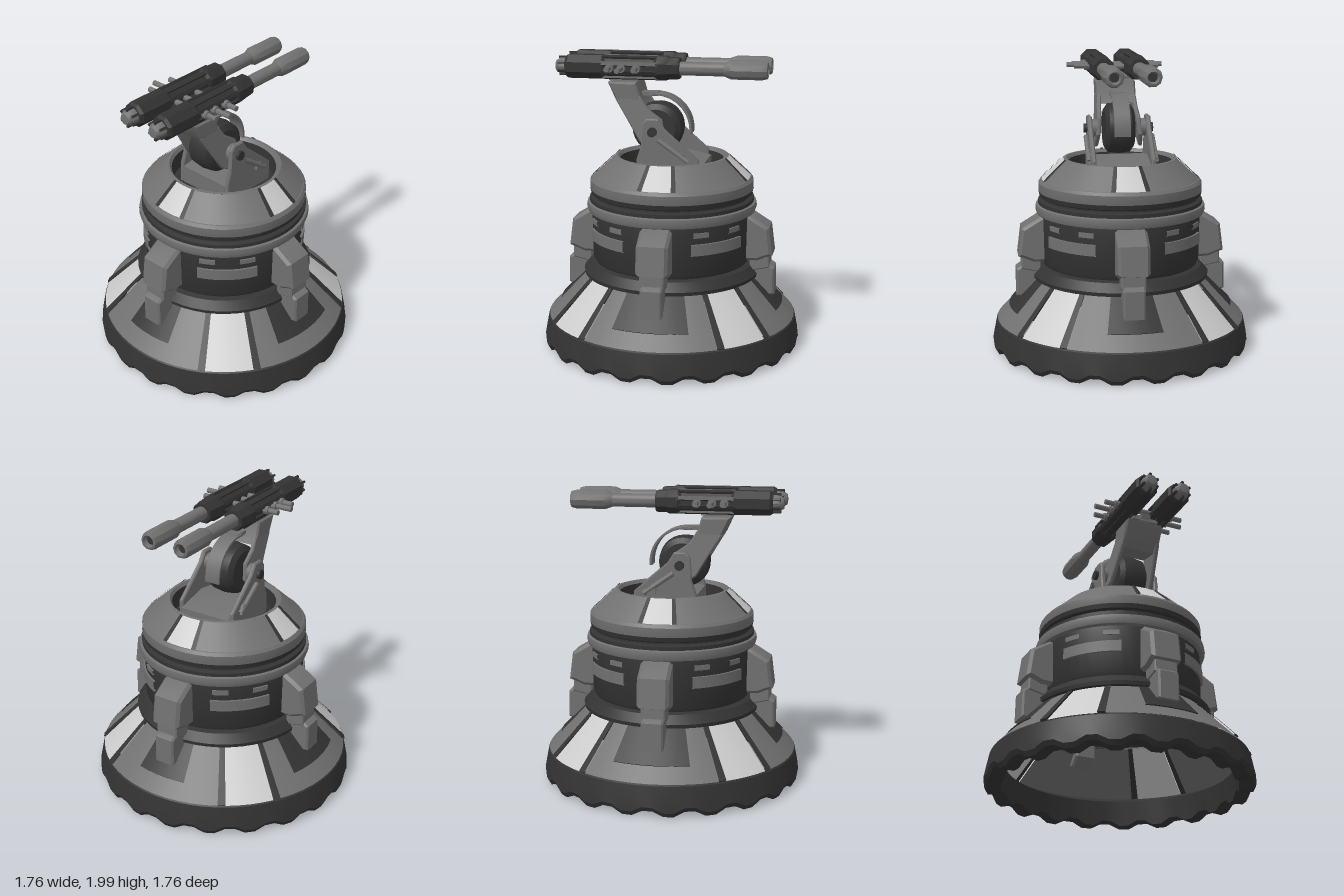
import * as THREE from 'three';
import { toCreasedNormals } from 'three/addons/utils/BufferGeometryUtils.js';

const material = (color) => new THREE.MeshStandardMaterial({ color, side: THREE.DoubleSide });
const LIGHT = material(0xcccccc), GREY = material(0x707070), DARK = material(0x333333);
const RAD = Math.PI / 180;

function add(parent, name, geometry, mat, crease = 0.6) {
  const mesh = new THREE.Mesh(toCreasedNormals(geometry, crease), mat);
  mesh.name = name;
  parent.add(mesh);
  return mesh;
}

// Surface of revolution, or a sector of it centred on an angle from the front (degrees)
function lathe(points, centre = 0, half = 180) {
  const v = points.map(([r, y]) => new THREE.Vector2(r, y));
  const segments = half === 180 ? 48 : Math.max(2, Math.round(half / 3));
  return new THREE.LatheGeometry(v, segments, (centre - half) * RAD, 2 * half * RAD);
}

// Side profile given as [z, y], extruded across x and centred on the given x
function sideProfile(points, x, width, bevel = 0.008) {
  const shape = new THREE.Shape(points.map(([z, y]) => new THREE.Vector2(z, y)));
  const depth = width - 2 * bevel;
  const g = new THREE.ExtrudeGeometry(shape, {
    depth, bevelThickness: bevel, bevelSize: bevel, bevelOffset: -bevel, bevelSegments: 1,
  });
  return g.translate(0, 0, -depth / 2).rotateY(-Math.PI / 2).translate(x, 0, 0);
}

function box(w, h, d, x, y, z) {
  return new THREE.BoxGeometry(w, h, d).translate(x, y, z);
}

function crossCylinder(r, length, x, y, z, sides = 20) {
  return new THREE.CylinderGeometry(r, r, length, sides).rotateZ(Math.PI / 2).translate(x, y, z);
}

function buildBase(group) {
  // Heavy foot ring with a notched lower edge
  const ring = new THREE.LatheGeometry([
    [0.75, 0.17], [0.77, 0], [0.865, 0], [0.882, 0.03], [0.875, 0.1], [0.855, 0.2], [0.835, 0.215], [0.75, 0.17],
  ].map(([r, y]) => new THREE.Vector2(r, y)), 160);
  const p = ring.attributes.position;
  for (let i = 0; i < p.count; i++) {
    if (p.getY(i) > 0.04) continue;
    const wave = Math.cos(Math.atan2(p.getX(i), p.getZ(i)) * 20);
    const lift = THREE.MathUtils.clamp(0.5 + wave, 0, 1) * 0.035;
    p.setY(i, p.getY(i) + lift);
  }
  add(group, 'footRing', ring, DARK);

  // Sloped skirt with light diagonal panels between dark ribs
  const slope = (y, out = 0) => [0.85 - (y - 0.21) * 0.965 + out, y + out];
  for (let i = 0; i < 4; i++) {
    const a = i * 90;
    add(group, 'skirtPanel', lathe([slope(0.21), slope(0.5)], a, 31), GREY);
    add(group, 'skirtLightPanel', lathe([slope(0.21), slope(0.5)], a + 45, 11), LIGHT);
    for (const s of [-1, 1]) {
      add(group, 'skirtRib', lathe([slope(0.21), slope(0.21, 0.008), slope(0.5, 0.008), slope(0.5)], a + 45 + s * 12.5, 1.7), DARK);
    }
    add(group, 'skirtDarkInset', lathe([slope(0.3), slope(0.3, 0.005), slope(0.5, 0.005)], a, i % 2 ? 19 : 13.5), DARK);
  }
  add(group, 'skirtCollar', lathe([[0.57, 0.5], [0.6, 0.5], [0.605, 0.525], [0.56, 0.58], [0.52, 0.59]]), DARK);
}

function buildBody(group) {
  add(group, 'drum', lathe([[0, 0.58], [0.52, 0.58], [0.54, 0.62], [0.545, 0.92], [0.54, 0.95]]), DARK);
  add(group, 'lowerBand', lathe([[0.54, 0.935], [0.57, 0.94], [0.58, 0.97], [0.575, 1.0], [0.55, 1.01]]), GREY);
  add(group, 'groove', lathe([[0.56, 1.0], [0.56, 1.03], [0.53, 1.04], [0.53, 1.07], [0.545, 1.09]]), DARK);
  add(group, 'upperBand', lathe([[0.52, 1.05], [0.545, 1.06], [0.555, 1.085], [0.555, 1.15], [0.54, 1.17], [0.52, 1.175]]), GREY);
  add(group, 'bandShadow', lathe([[0.53, 1.05], [0.55, 1.06], [0.557, 1.09]]), DARK);

  // Conical shoulder, split into grey and light panels
  const cone = (o = 0) => [[0.535 + o, 1.17 + o], [0.385 + o, 1.31 + o]];
  for (let i = 0; i < 4; i++) {
    const a = i * 90;
    add(group, 'shoulderPanel', lathe(cone(), a + 45, 32), GREY);
    add(group, 'shoulderLightPanel', lathe(cone(), a, 10.5), LIGHT);
    for (const s of [-1, 1]) add(group, 'shoulderRib', lathe(cone(0.004), a + s * 12, 1.7), DARK);

    // Plates and vents around the drum
    const plate = (r, y0, y1) => [[0.53, y0], [r, y0], [r, y1], [0.53, y1]];
    add(group, 'drumPlate', lathe(plate(0.558, 0.75, 0.825), a + 45, 21), GREY);
    for (const s of [-1, 1]) add(group, 'drumVent', lathe(plate(0.555, 0.868, 0.9), a + 45 + s * 14, 5.5), GREY);
  }
  // Open well in the top
  add(group, 'wellRim', lathe([[0.385, 1.31], [0.365, 1.312], [0.35, 1.29]]), GREY);
  add(group, 'well', lathe([[0.35, 1.29], [0.34, 1.18], [0, 1.18]]), DARK);
}

function buildStruts(group) {
  for (let i = 0; i < 4; i++) {
    const strut = new THREE.Group();
    strut.name = 'strut';
    strut.rotation.y = i * Math.PI / 2;
    add(strut, 'strutHousing', sideProfile(
      [[0.5, 0.93], [0.55, 0.93], [0.68, 0.85], [0.705, 0.66], [0.66, 0.645], [0.6, 0.62], [0.5, 0.62]], 0, 0.21, 0.02), GREY);
    add(strut, 'strutKnee', sideProfile(
      [[0.55, 0.66], [0.68, 0.66], [0.685, 0.57], [0.55, 0.54]], 0, 0.16), GREY);
    add(strut, 'strutFoot', sideProfile(
      [[0.56, 0.6], [0.68, 0.59], [0.718, 0.565], [0.72, 0.38], [0.64, 0.36], [0.56, 0.42]], 0, 0.145, 0.012), GREY);
    group.add(strut);
  }
}

function buildMount(group) {
  add(group, 'mountBlock', sideProfile([[0.2, 1.18], [0.2, 1.3], [0, 1.33], [-0.24, 1.28], [-0.24, 1.18]], 0, 0.38), GREY);
  add(group, 'wheel', new THREE.LatheGeometry(
    [[0, -0.1], [0.13, -0.1], [0.165, -0.075], [0.175, 0], [0.165, 0.075], [0.13, 0.1], [0, 0.1]]
      .map(([r, y]) => new THREE.Vector2(r, y)), 28).rotateZ(Math.PI / 2).translate(0, 1.5, 0.09), DARK);
  // Arm head leaning forward over the wheel
  add(group, 'armHead', sideProfile(
    [[0.41, 1.81], [0.22, 1.81], [0.19, 1.71], [0.16, 1.66], [0.3, 1.64], [0.36, 1.7]], 0, 0.27, 0.012), GREY);
  for (const s of [-1, 1]) {
    const cheek = sideProfile(
      [[0.36, 1.7], [0.19, 1.72], [0.14, 1.64], [0.04, 1.57], [0.02, 1.46], [0.1, 1.37], [0.19, 1.42], [0.28, 1.57]], 0, 0.03);
    const p = cheek.attributes.position;
    for (let i = 0; i < p.count; i++) p.setX(i, p.getX(i) + s * (0.12 + (1.7 - p.getY(i)) * 0.1));
    cheek.computeVertexNormals();
    add(group, 'armCheek', cheek, GREY);
    add(group, 'mountPlate', sideProfile(
      [[0.2, 1.18], [0.2, 1.31], [0.17, 1.4], [0.16, 1.55], [0.13, 1.585], [0.05, 1.585], [0.01, 1.52], [-0.22, 1.32], [-0.22, 1.18]],
      s * 0.2, 0.032), GREY);
    add(group, 'pivotHub', crossCylinder(0.06, 0.08, s * 0.17, 1.5, 0.09), GREY);
    add(group, 'pivotCap', crossCylinder(0.032, 0.03, s * 0.222, 1.5, 0.09, 12), DARK);
    add(group, 'plateJoint', crossCylinder(0.035, 0.04, s * 0.215, 1.33, -0.1, 12), GREY);
    const rod = new THREE.LineCurve3(new THREE.Vector3(s * 0.225, 1.45, 0.05), new THREE.Vector3(s * 0.225, 1.31, -0.15));
    add(group, 'plateRod', new THREE.TubeGeometry(rod, 1, 0.018, 8), GREY);
  }
  // Thin curved guard behind the wheel
  const outer = [], inner = [];
  for (let i = 0; i <= 14; i++) {
    const a = (100 - i * 7.5) * RAD;
    outer.push([0.1 - 0.245 * Math.sin(Math.PI / 2 - a), 1.49 + 0.245 * Math.sin(a)]);
    inner.unshift([0.1 - 0.228 * Math.cos(a), 1.49 + 0.228 * Math.sin(a)]);
  }
  add(group, 'wheelGuard', sideProfile([...outer, ...inner], 0, 0.11, 0.002), GREY);
  add(group, 'guardBracket', box(0.09, 0.025, 0.13, 0, 1.725, 0.15), GREY);
}

function buildGuns(group) {
  // Profile as [radius, z], turned about the barrel axis
  const turned = (points, sides) => new THREE.LatheGeometry(
    points.map(([r, z]) => new THREE.Vector2(r, z)), sides, Math.PI / sides).rotateX(Math.PI / 2);
  for (const s of [-1, 1]) {
    const gun = new THREE.Group();
    gun.name = 'gun';
    gun.position.set(s * 0.12, 1.912, 0);
    add(gun, 'muzzle', turned([[0.03, -0.63], [0.04, -0.66], [0.055, -0.655], [0.064, -0.62], [0.064, -0.42], [0.045, -0.37]], 10), GREY);
    add(gun, 'muzzleBore', turned([[0, -0.63], [0.032, -0.63]], 10), DARK);
    add(gun, 'barrel', turned([[0.045, -0.38], [0.045, -0.06]], 16), GREY);
    add(gun, 'receiver', turned([
      [0.045, -0.08], [0.07, -0.08], [0.076, -0.065], [0.076, -0.01], [0.085, 0.01], [0.085, 0.07], [0.072, 0.09],
      [0.072, 0.42], [0.084, 0.44], [0.084, 0.67], [0.07, 0.69], [0, 0.69]], 8), DARK, 0.4);
    // Long ribs over the receiver
    for (let i = 0; i < 8; i++) {
      add(gun, 'receiverRib', box(0.026, 0.016, 0.38, 0, 0.073, 0.25).rotateZ((i + 0.5) * Math.PI / 4), DARK);
    }
    add(gun, 'rearCap', turned([[0.055, 0.68], [0.055, 0.73], [0.035, 0.76], [0, 0.765]], 10), GREY);
    for (let i = 0; i < 6; i++) {
      add(gun, 'rearFin', box(0.016, 0.02, 0.06, 0, 0.055, 0.71).rotateZ(i * Math.PI / 3), DARK);
    }
    // Side pins
    [[0.2, 0.17], [0.3, 0.21], [0.38, 0.17]].forEach(([z, reach]) => {
      add(gun, 'sidePin', crossCylinder(0.018, reach, s * reach / 2, 0, z, 10), GREY);
      add(gun, 'pinCollar', crossCylinder(0.028, 0.04, s * 0.08, 0, z, 10), GREY);
    });
    group.add(gun);
  }
  // Cradle joining the guns to the arm
  add(group, 'cradle', sideProfile([[0.4, 1.79], [0.24, 1.79], [0.2, 1.87], [0.42, 1.87]], 0, 0.08), GREY);
  add(group, 'cradleSaddle', box(0.19, 0.025, 0.2, 0, 1.83, 0.31), GREY);
  for (const z of [0.2, 0.3, 0.38]) add(group, 'crossPin', crossCylinder(0.02, 0.2, 0, 1.905, z, 10), GREY);
}

export function createModel() {
  const model = new THREE.Group();
  model.name = 'gunTurret';
  const parts = { base: buildBase, body: buildBody, struts: buildStruts, mount: buildMount, guns: buildGuns };
  for (const [name, build] of Object.entries(parts)) {
    const group = new THREE.Group();
    group.name = name;
    build(group);
    model.add(group);
  }
  return model;
}
